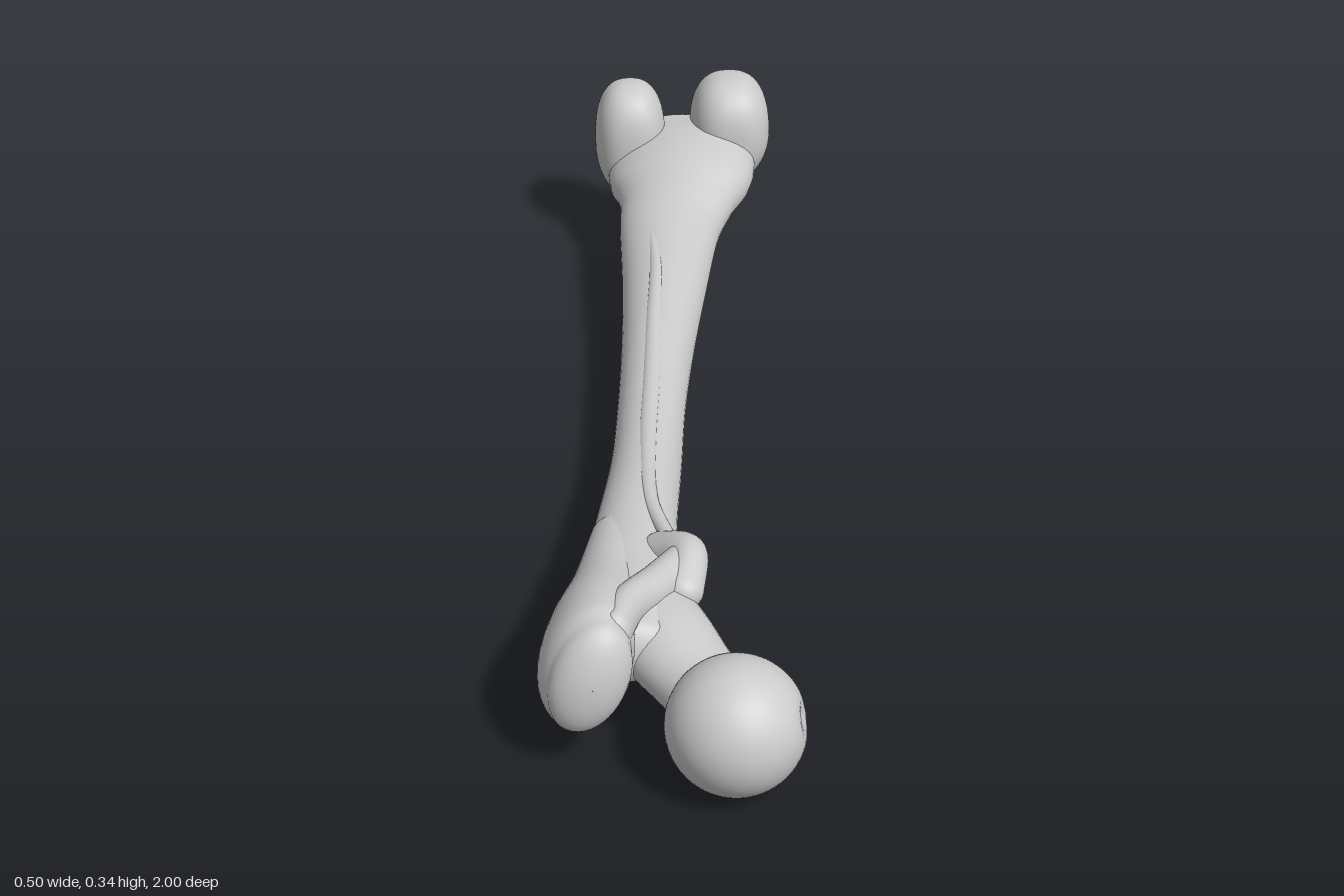
import * as THREE from 'three';

const material = new THREE.MeshStandardMaterial({ color: 0xcccccc, roughness: 0.7 });

function addMesh(group, name, geometry) {
  const mesh = new THREE.Mesh(geometry, material);
  mesh.name = name;
  group.add(mesh);
  return mesh;
}

// Smooth skin over elliptical cross-sections with domed ends.
// Each row is [x, y, z, half width, half height, twist].
function loft(rows, dome = 0.03, steps = 8, sides = 40) {
  const path = new THREE.CatmullRomCurve3(rows.map(r => new THREE.Vector3(r[0], r[1], r[2])), false, 'catmullrom');
  const size = new THREE.CatmullRomCurve3(rows.map(r => new THREE.Vector3(r[3], r[4], r[5] || 0)), false, 'catmullrom');
  const up = new THREE.Vector3(0, 1, 0);
  const rings = [];
  const domeSteps = 8;
  const quarter = k => (k / domeSteps) * Math.PI / 2;
  for (let k = domeSteps; k > 0; k--) rings.push([0, -Math.sin(quarter(k)) * dome, Math.cos(quarter(k)) + 0.005]);
  const count = (rows.length - 1) * steps;
  for (let i = 0; i <= count; i++) rings.push([i / count, 0, 1]);
  for (let k = 1; k <= domeSteps; k++) rings.push([1, Math.sin(quarter(k)) * dome, Math.cos(quarter(k)) + 0.005]);

  const positions = [], index = [];
  rings.forEach(([t, push, scale], i) => {
    const tangent = path.getTangent(t);
    const side = up.clone().cross(tangent).normalize();
    const top = tangent.clone().cross(side);
    const center = path.getPoint(t).addScaledVector(tangent, push);
    const s = size.getPoint(t);
    for (let j = 0; j < sides; j++) {
      const a = (j / sides) * Math.PI * 2;
      const u = Math.cos(a) * s.x * scale, v = Math.sin(a) * s.y * scale;
      const c = Math.cos(s.z), d = Math.sin(s.z);
      const p = center.clone().addScaledVector(side, u * c - v * d).addScaledVector(top, u * d + v * c);
      positions.push(p.x, p.y, p.z);
      if (i < rings.length - 1) {
        const n = (j + 1) % sides, r = i * sides, q = r + sides;
        index.push(r + j, r + n, q + j, r + n, q + n, q + j);
      }
    }
  });
  const geometry = new THREE.BufferGeometry();
  geometry.setAttribute('position', new THREE.Float32BufferAttribute(positions, 3));
  geometry.setIndex(index);
  geometry.computeVertexNormals();
  return geometry;
}

// Sphere whose vertices are moved by a rule.
function shapedSphere(rule) {
  const geometry = new THREE.SphereGeometry(1, 56, 40);
  const pos = geometry.attributes.position;
  const v = new THREE.Vector3();
  for (let i = 0; i < pos.count; i++) {
    rule(v.fromBufferAttribute(pos, i));
    pos.setXYZ(i, v.x, v.y, v.z);
  }
  geometry.computeVertexNormals();
  return geometry;
}

// Slightly boxy ellipsoid; its lower half leans towards the groove.
function condyle(center, radii, lean) {
  return shapedSphere(v => {
    const e = 2.5;
    const norm = Math.pow(Math.abs(v.x) ** e + Math.abs(v.y) ** e + Math.abs(v.z) ** e, 1 / e);
    v.divideScalar(norm);
    v.set(v.x * radii[0], v.y * radii[1], v.z * radii[2]);
    if (v.y < 0) v.x -= lean * v.y * v.y / radii[1];
    v.add(new THREE.Vector3(...center));
  });
}

export function createModel() {
  const group = new THREE.Group();
  group.name = 'thighBone';

  // Shaft, flaring into both ends
  addMesh(group, 'shaft', loft([
    [0.055, 0.175, -0.92, 0.125, 0.075],
    [0.065, 0.172, -0.84, 0.148, 0.084, 0.12],
    [0.059, 0.166, -0.76, 0.142, 0.08, 0.12],
    [0.046, 0.155, -0.69, 0.115, 0.07, 0.08],
    [0.027, 0.14, -0.6, 0.098, 0.066],
    [0.005, 0.122, -0.4, 0.08, 0.067],
    [-0.018, 0.108, -0.2, 0.067, 0.067],
    [-0.04, 0.102, 0, 0.06, 0.063],
    [-0.06, 0.103, 0.2, 0.06, 0.063],
    [-0.085, 0.124, 0.4, 0.065, 0.06],
    [-0.105, 0.138, 0.57, 0.074, 0.056],
    [-0.118, 0.145, 0.7, 0.09, 0.06],
    [-0.12, 0.145, 0.76, 0.082, 0.056],
  ], 0.035));

  // Low ridge along the back of the shaft
  addMesh(group, 'shaftRidge', loft([
    [-0.015, 0.185, -0.62, 0.008, 0.01],
    [-0.01, 0.178, -0.4, 0.014, 0.013],
    [-0.025, 0.165, -0.2, 0.016, 0.013],
    [-0.04, 0.156, 0, 0.017, 0.013],
    [-0.057, 0.157, 0.2, 0.016, 0.013],
    [-0.065, 0.173, 0.4, 0.014, 0.013],
    [-0.04, 0.182, 0.54, 0.012, 0.012],
  ], 0.03, 6, 20));

  // Neck
  addMesh(group, 'neck', loft([
    [-0.1, 0.142, 0.64, 0.08, 0.056],
    [-0.055, 0.133, 0.74, 0.075, 0.06],
    [-0.01, 0.117, 0.82, 0.065, 0.056],
    [0.025, 0.107, 0.88, 0.074, 0.068],
  ], 0.02));

  // Ball head with a small pit on its inner side
  const pit = new THREE.Vector3(0.96, 0.2, 0.15).normalize();
  addMesh(group, 'head', shapedSphere(v => {
    const d = v.distanceTo(pit);
    v.multiplyScalar(0.1035 * (1 - 0.11 * Math.exp(-((d / 0.2) ** 2))));
    v.add(new THREE.Vector3(0.033, 0.1035, 0.8965));
  }));

  // Large outer knob
  addMesh(group, 'greaterTrochanter', loft([
    [-0.118, 0.137, 0.47, 0.045, 0.045, -0.35],
    [-0.142, 0.143, 0.61, 0.054, 0.064, -0.35],
    [-0.169, 0.15, 0.72, 0.062, 0.092, -0.35],
    [-0.178, 0.155, 0.8, 0.067, 0.1, -0.35],
    [-0.174, 0.16, 0.845, 0.058, 0.09, -0.35],
  ], 0.04));

  // Crest from the large knob to the small knob
  addMesh(group, 'trochantericCrest', loft([
    [-0.135, 0.212, 0.81, 0.024, 0.034],
    [-0.115, 0.205, 0.74, 0.028, 0.034],
    [-0.065, 0.186, 0.66, 0.032, 0.034],
    [-0.02, 0.182, 0.59, 0.027, 0.032],
  ], 0.025, 8, 28));

  // Small inner knob
  addMesh(group, 'lesserTrochanter', loft([
    [-0.055, 0.165, 0.54, 0.035, 0.03],
    [-0.025, 0.185, 0.575, 0.034, 0.032],
    [-0.016, 0.19, 0.605, 0.03, 0.032],
    [-0.03, 0.175, 0.66, 0.034, 0.03],
  ], 0.03, 8, 28));

  // Knee condyles
  addMesh(group, 'outerCondyle', condyle([-0.036, 0.21, -0.895], [0.072, 0.126, 0.088], -0.15));
  addMesh(group, 'innerCondyle', condyle([0.168, 0.226, -0.9], [0.081, 0.118, 0.1], 0.3));

  return group;
}
